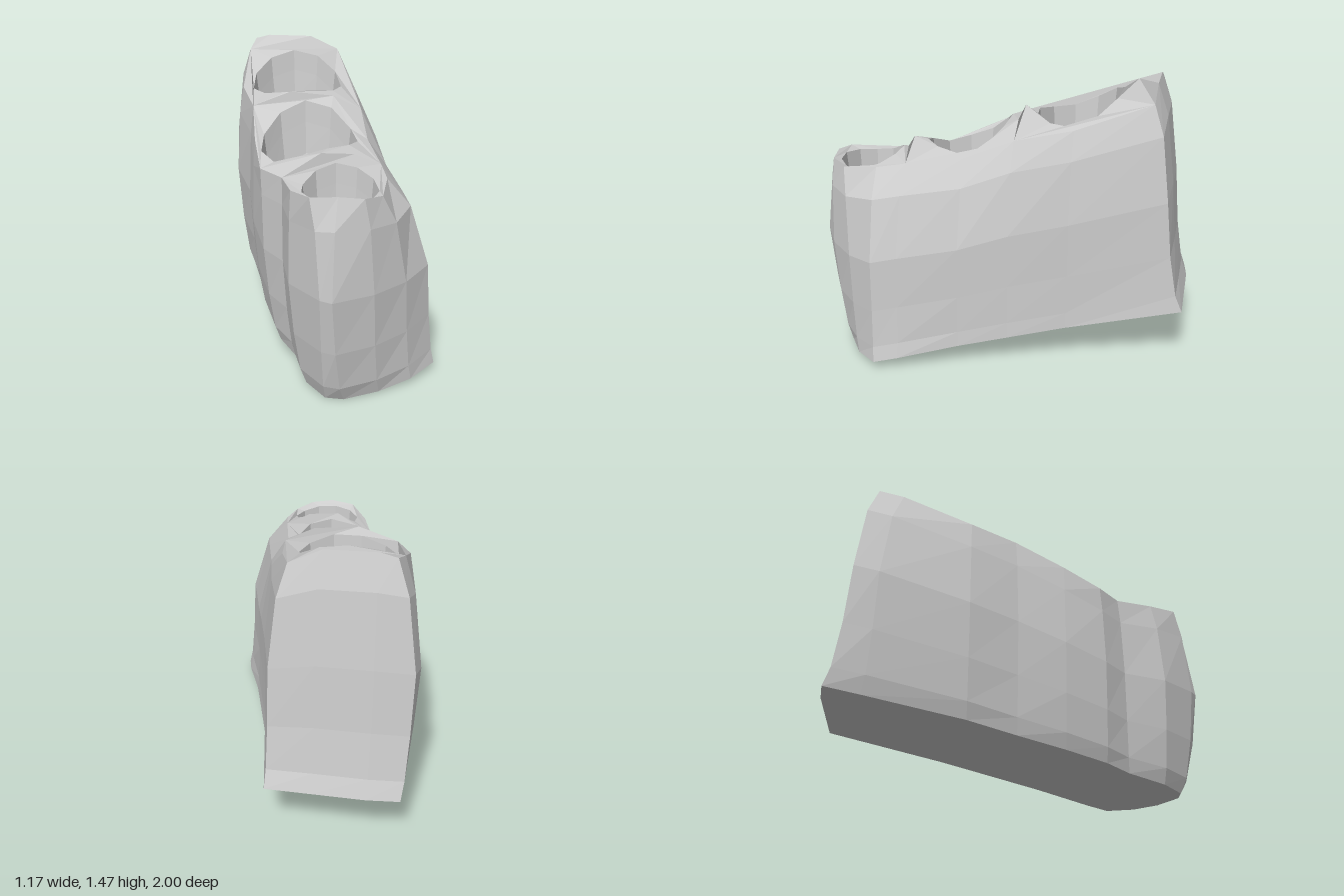
import * as THREE from 'three';

// Plan outlines as x,z pairs: nose (0-3), +x wall (4-7), back wall (8-11), -x wall (12-19)
const FOOT = [0.13, 0.87, 0.3, 0.8, 0.46, 0.7, 0.58, 0.57, 0.545, 0.45, 0.425, 0.15, 0.345, -0.1, 0.25, -0.4,
  0.11, -1, -0.12, -1, -0.38, -1, -0.54, -0.98, -0.52, -0.8, -0.45, -0.3, -0.37, -0.05, -0.3, 0.2,
  -0.22, 0.42, -0.13, 0.55, -0.06, 0.75, 0.04, 0.86];
const MID = [0.08, 1, 0.27, 0.89, 0.42, 0.74, 0.53, 0.58, 0.49, 0.45, 0.4, 0.15, 0.325, -0.1, 0.235, -0.4,
  0.1, -0.89, -0.12, -0.9, -0.39, -0.9, -0.575, -0.88, -0.59, -0.75, -0.53, -0.3, -0.43, -0.05, -0.38, 0.2,
  -0.3, 0.42, -0.19, 0.54, -0.14, 0.77, 0.02, 0.96];
const RIM = [0.1, 0.9, 0.22, 0.88, 0.3, 0.79, 0.32, 0.6, 0.29, 0.45, 0.22, 0.15, 0.18, -0.1, 0.13, -0.4,
  0.02, -0.79, -0.14, -0.79, -0.39, -0.79, -0.47, -0.79, -0.49, -0.66, -0.485, -0.3, -0.4, -0.06, -0.36, 0.2,
  -0.31, 0.4, -0.19, 0.52, -0.13, 0.72, -0.03, 0.88];

// Piecewise-linear lookup in a list of [z, value], z descending
function lookup(table, z) {
  for (let i = 1; i < table.length; i++) {
    const [z0, v0] = table[i - 1], [z1, v1] = table[i];
    if (z >= z1 || i === table.length - 1) {
      return THREE.MathUtils.lerp(v0, v1, THREE.MathUtils.clamp((z0 - z) / (z0 - z1), 0, 1));
    }
  }
}
const CREST = [[0.9, 1.06], [0.6, 1.11], [0.25, 1.2], [0.1, 1.21], [-0.03, 1.29], [-0.35, 1.34], [-0.6, 1.44], [-0.79, 1.48]];
const AXIS = [[0.9, 0.1], [0.6, 0.09], [0.2, -0.07], [-0.37, -0.18], [-0.79, -0.26]];
const LEFT_DROP = [[0.9, 0.06], [0.52, 0.13], [0.2, 0.08], [-0.4, 0.05]];

// Ridge height: steps up to the back and falls off to both sides
function topY(x, z) {
  const d = (x - lookup(AXIS, z)) / 0.26;
  const drop = d > 0 ? 0.08 : lookup(LEFT_DROP, z);
  return lookup(CREST, z) - drop * Math.min(d * d, 1.3);
}
const footY = (z) => Math.max(0, 0.16 * (0.84 - z));
const onRidge = (x, z) => new THREE.Vector3(x, topY(x, z), z);

const toPoints = (a) => Array.from({ length: a.length / 2 }, (_, i) => new THREE.Vector2(a[2 * i], a[2 * i + 1]));
const flat = (ring) => ring.map((p) => new THREE.Vector2(p.x, -p.z));

// Triangles between two rings, lower then upper
function loft(out, a, b) {
  a.forEach((p, i) => {
    const j = (i + 1) % a.length;
    out.push(p, a[j], b[j], p, b[j], b[i]);
  });
}

function facetedMesh(name, points, material) {
  const geometry = new THREE.BufferGeometry().setFromPoints(points);
  geometry.computeVertexNormals();
  const mesh = new THREE.Mesh(geometry, material);
  mesh.name = name;
  return mesh;
}

// Socket rings from the floor up to the rim
function socketRings({ x, z, rx, rz, depth }) {
  const levels = [[0.68, 1], [0.86, 0.75], [0.95, 0.3], [1, 0]];
  return levels.map(([scale, down]) => Array.from({ length: 11 }, (_, i) => {
    const a = (i / 11) * Math.PI * 2;
    const dx = rx * Math.cos(a), dz = rz * Math.sin(a);
    return new THREE.Vector3(x + dx * scale, topY(x + dx, z + dz) - 0.03 - depth * down, z + dz * scale);
  }));
}

export function createModel() {
  const group = new THREE.Group();
  group.name = 'boneBlock';
  const material = new THREE.MeshStandardMaterial({ color: 0xcccccc, flatShading: true });
  const foot = toPoints(FOOT), mid = toPoints(MID), rim = toPoints(RIM);

  // Side walls: [height fraction, from, to, blend]
  const levels = [[0, foot, mid, 0], [0.08, foot, mid, 0.35], [0.28, foot, mid, 0.72],
    [0.55, mid, rim, 0], [0.86, mid, rim, 0.45], [1, mid, rim, 1]];
  const rings = levels.map(([t, from, to, k]) => from.map((p, i) => {
    const q = p.clone().lerp(to[i], k);
    const y = THREE.MathUtils.lerp(footY(foot[i].y), topY(rim[i].x, rim[i].y), t);
    return new THREE.Vector3(q.x, y, q.y);
  }));
  const walls = [];
  for (let i = 1; i < rings.length; i++) loft(walls, rings[i - 1], rings[i]);
  group.add(facetedMesh('sideWalls', walls, material));

  // Underside
  const base = [];
  THREE.ShapeUtils.triangulateShape(flat(rings[0]), [])
    .forEach(([a, b, c]) => base.push(rings[0][a], rings[0][c], rings[0][b]));
  group.add(facetedMesh('underside', base, material));

  // The ridge is split at the two necks between sockets
  const top = rings[rings.length - 1];
  const frontNeck = [onRidge(0.16, 0.475), onRidge(0, 0.495)];
  const backNeck = [onRidge(0.03, -0.09), onRidge(-0.2, -0.08)];
  const parts = [
    { name: 'front', x: 0.1, z: 0.7, rx: 0.185, rz: 0.17, depth: 0.34,
      outline: [...top.slice(0, 5), ...frontNeck, ...top.slice(17)] },
    { name: 'middle', x: -0.08, z: 0.2, rx: 0.25, rz: 0.23, depth: 0.38,
      outline: [...top.slice(4, 7), ...backNeck, ...top.slice(14, 18), ...[...frontNeck].reverse()] },
    { name: 'back', x: -0.19, z: -0.38, rx: 0.25, rz: 0.23, depth: 0.38,
      outline: [...top.slice(6, 15), ...[...backNeck].reverse()] },
  ];
  for (const part of parts) {
    // Socket wall and floor
    const loops = socketRings(part);
    const socket = [];
    for (let i = 1; i < loops.length; i++) loft(socket, loops[i - 1], loops[i]);
    const floor = loops[0];
    const centre = floor.reduce((s, p) => s.add(p), new THREE.Vector3()).divideScalar(floor.length);
    centre.y -= 0.03;
    floor.forEach((p, i) => socket.push(centre, floor[(i + 1) % floor.length], p));
    group.add(facetedMesh(part.name + 'Socket', socket, material));

    // Ridge surface around the opening
    const opening = loops[loops.length - 1];
    const all = [...part.outline, ...opening];
    const ridge = [];
    THREE.ShapeUtils.triangulateShape(flat(part.outline), [flat(opening)])
      .forEach((face) => face.forEach((i) => ridge.push(all[i])));
    group.add(facetedMesh(part.name + 'Ridge', ridge, material));
  }
  return group;
}
